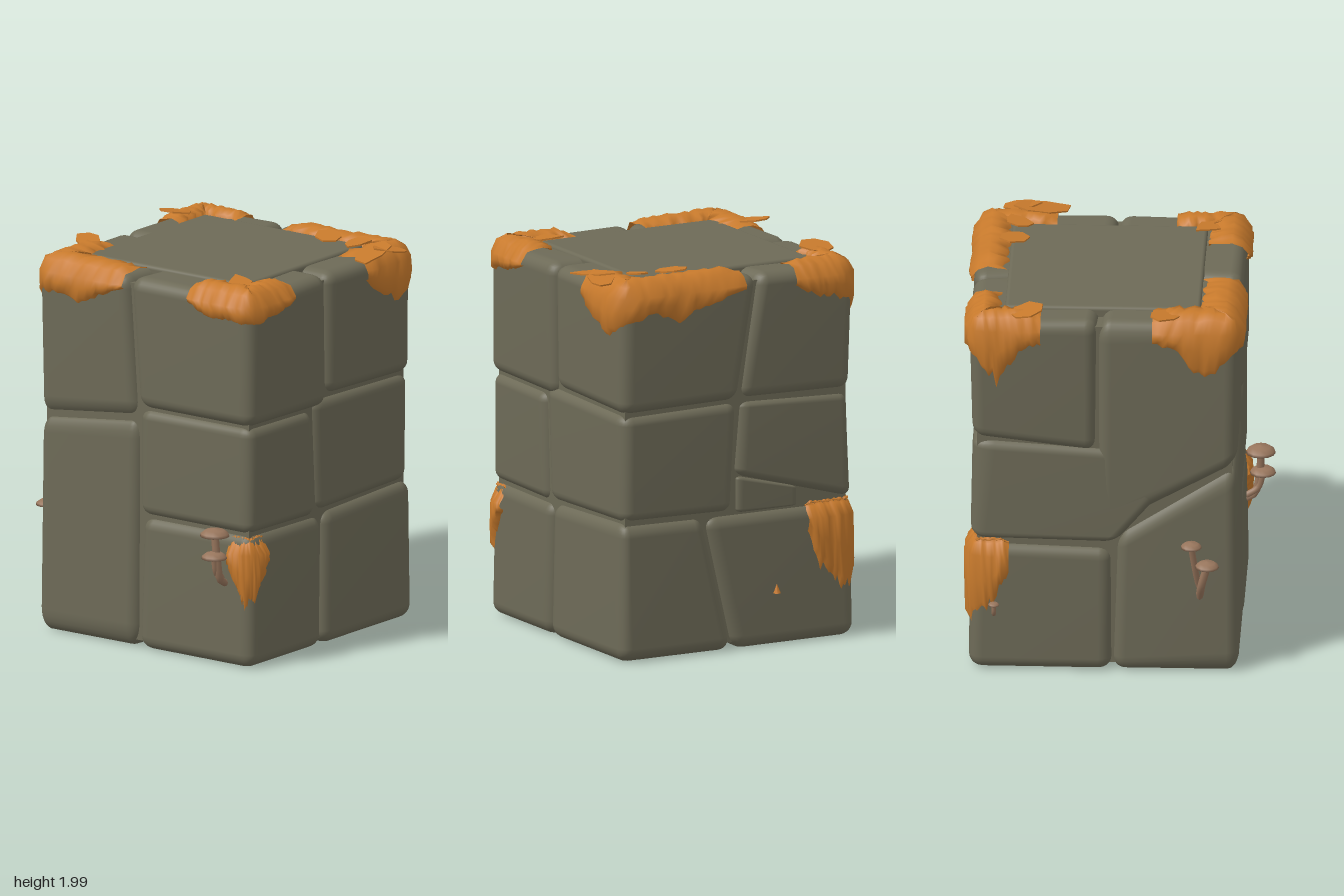
import * as THREE from 'three';
import { mergeVertices } from 'three/addons/utils/BufferGeometryUtils.js';
import { RoundedBoxGeometry } from 'three/addons/geometries/RoundedBoxGeometry.js';

const lerp = THREE.MathUtils.lerp;

export function createModel() {
  const group = new THREE.Group();
  const mat = (name, color, side = THREE.FrontSide) => {
    const m = new THREE.MeshStandardMaterial({ color, side });
    m.name = name;
    return m;
  };
  const stoneMat = mat('mossy grey stone', 0x6d6a57);
  const mossMat = mat('orange moss', 0xc87a2c, THREE.DoubleSide);
  const shroomMat = mat('mushroom brown', 0x97755c, THREE.DoubleSide);

  const add = (name, geo, material) => {
    const m = new THREE.Mesh(geo, material);
    m.name = name;
    group.add(m);
    return m;
  };
  let seed = 7;
  const rnd = () => (seed = (seed * 16807) % 2147483647) / 2147483647;

  const edgeX = (sx) => (sx > 0 ? 0.745 : -0.62);
  const edgeZ = (sz) => (sz > 0 ? 0.69 : -0.67);

  // Rounded unit block whose points are moved by a rule
  const warpedBlock = (name, rule, radius = 0.1) => {
    let geo = new RoundedBoxGeometry(1, 1, 1, 3, radius);
    geo.deleteAttribute('normal');
    geo.deleteAttribute('uv');
    geo = mergeVertices(geo, 1e-4);
    const p = geo.attributes.position, v = new THREE.Vector3();
    for (let i = 0; i < p.count; i++) {
      v.fromBufferAttribute(p, i);
      p.setXYZ(i, ...rule(v));
    }
    geo.computeVertexNormals();
    return add(name, geo, stoneMat);
  };

  // Corner stone: xs / zs are its seams on the two faces [bottom, top];
  // lo / hi are heights at [outer corner, seam on z face, seam on x face]
  const stone = (name, sx, sz, xs, zs, lo, hi, inset = [0, 0]) =>
    warpedBlock(name, (v) => {
      const a = 0.5 + sx * v.x, b = 0.5 + sz * v.z, t = v.y + 0.5;
      const out = lerp(inset[0], inset[1], t);
      const X = edgeX(sx) - sx * out, Z = edgeZ(sz) - sz * out;
      const x = lerp(lerp(0.06, lerp(xs[0], xs[1], t), b), X, a);
      const z = lerp(lerp(0, lerp(zs[0], zs[1], t), a), Z, b);
      const height = (h) => lerp(lerp((h[1] + h[2]) / 2, h[1], b), lerp(h[2], h[0], b), a);
      return [x, lerp(height(lo), height(hi), t), z];
    });

  // Inner core closing the gaps behind the seams
  const core = add('core', new THREE.BoxGeometry(1.29, 1.86, 1.28), stoneMat);
  core.position.set(0.0625, 0.97, 0.01);

  // Bottom course
  const ground = [0.005, 0.005, 0.005];
  const fr0 = [0.72, 0.7, 0.71], fl0 = [0.7, 0.69, 0.7], br0 = [0.71, 0.68, 0.71], bl0 = [1.15, 0.74, 1.22];
  stone('bottomFrontLeftStone', 1, 1, [-0.01, 0], [0.04, 0.22], ground, fr0, [-0.005, 0.005]);
  stone('bottomFrontRightStone', -1, 1, [-0.01, 0], [-0.04, -0.02], ground, fl0, [0, 0.01]);
  stone('bottomBackLeftStone', 1, -1, [0.02, 0.02], [0.04, 0.22], ground, br0, [-0.005, 0.005]);
  stone('tallBackRightStone', -1, -1, [0.02, 0], [-0.04, -0.03], ground, bl0, [0, 0.01]);

  // Middle course
  const fr1 = [1.28, 1.3, 1.29], fl1 = [1.26, 1.25, 1.26], br1 = [1.28, 1.2, 1.29];
  stone('middleFrontLeftStone', 1, 1, [-0.05, -0.08], [0.03, 0], fr0, fr1, [0.015, 0.01]);
  stone('middleFrontRightStone', -1, 1, [-0.05, -0.08], [-0.04, -0.04], fl0, fl1, [0.01, 0.01]);
  stone('middleBackLeftStone', 1, -1, [0, -0.45], [0.03, 0], [0.71, 0.7, 0.91], br1, [0.005, 0.015]);

  // Small filler stone on the side
  warpedBlock('fillerStone', (v) => {
    const t = v.y + 0.5, s = 0.5 - v.z;
    return [0.63 + v.x * 0.2, lerp(0.71, lerp(0.9, 0.81, s), t), lerp(0.01, -0.34, s)];
  });

  // Top course
  const rim = [1.93, 1.94, 1.94];
  stone('topFrontLeftStone', 1, 1, [0.04, 0.03], [0, -0.12], fr1, rim, [0.005, 0]);
  stone('topFrontRightStone', -1, 1, [0.04, 0.03], [-0.04, -0.1], fl1, rim, [0, 0]);
  stone('topBackLeftStone', 1, -1, [0.1, 0.1], [0, -0.12], br1, rim, [0.015, 0]);
  stone('topBackRightStone', -1, -1, [0.1, 0.1], [-0.04, -0.1], bl0, rim, [0.01, 0]);

  // Inset slab on top
  const slab = add('topSlab', new RoundedBoxGeometry(0.99, 0.1, 1.01, 3, 0.02), stoneMat);
  slab.position.set(0.075, 1.903, 0);

  // Moss draped round a corner: arms la (along x) and lb (along z),
  // inner width w, and hanging depths spread along its length
  const moss = (name, sx, sz, top, la, lb, w, drops) => {
    const N = 36, r = 0.1, arc = (r * Math.PI) / 2;
    const total = la - r + arc + lb - r;
    const pos = [], idx = [];
    const M = 9;
    for (let i = 0; i <= N; i++) {
      const s = (i / N) * total;
      let a, b, na = 0, nb = 0;                  // distance from corner, outward normal
      if (s < la - r) { a = la - s; b = 0; nb = 1; }
      else if (s < la - r + arc) {
        const q = (s - la + r) / r;
        na = Math.sin(q); nb = Math.cos(q);
        a = r - r * na; b = r - r * nb;
      } else { a = 0; b = s - la - arc + 2 * r; na = 1; }
      const f = (i / N) * (drops.length - 1), k = Math.min(Math.floor(f), drops.length - 2);
      const d = lerp(drops[k], drops[k + 1], f - k) * (0.85 + 0.3 * rnd());
      const ww = w * (0.88 + 0.24 * rnd());
      const fat = Math.min(1, 0.45 + Math.min(i, N - i) / 5);
      // [inward depth, outward offset, height]
      const profile = [
        [ww, 0, -0.02], [ww * 0.95, 0, 0.025], [ww * 0.65, 0, 0.04], [0.07, 0, 0.045], [0.02, 0, 0.02],
        [0, 0.022, -0.04], [0, 0.025, -0.04 - d * 0.4], [0, 0.022, -0.04 - d * 0.8], [0, -0.012, -0.04 - d],
      ];
      profile.forEach(([inner, out, h], j) => {
        const bump = j > 0 && j < M - 1 ? (rnd() - 0.5) * 0.014 : 0;
        const o = out * fat + (j > 4 ? bump : 0);
        const A = Math.max(a, inner) - na * o, B = Math.max(b, inner) - nb * o;
        pos.push(edgeX(sx) - sx * A, top + (h > 0 ? h * fat : h) + (j <= 4 ? bump : 0), edgeZ(sz) - sz * B);
        if (i < N && j < M - 1) {
          const q = i * M + j;
          idx.push(q, q + 1, q + M, q + 1, q + M + 1, q + M);
        }
      });
    }
    const geo = new THREE.BufferGeometry();
    geo.setAttribute('position', new THREE.Float32BufferAttribute(pos, 3));
    geo.setIndex(idx);
    geo.computeVertexNormals();
    add(name, geo, mossMat);
  };
  moss('frontLeftMoss', 1, 1, 1.93, 0.4, 0.72, 0.17, [0.06, 0.16, 0.2, 0.14, 0.09, 0.17, 0.1, 0.06, 0.02]);
  moss('frontRightMoss', -1, 1, 1.93, 0.36, 0.4, 0.18, [0.02, 0.06, 0.08, 0.1, 0.08, 0.08, 0.02]);
  moss('backLeftMoss', 1, -1, 1.93, 0.36, 0.35, 0.15, [0.08, 0.12, 0.3, 0.15, 0.12, 0.1, 0.03]);
  moss('backRightMoss', -1, -1, 1.93, 0.44, 0.55, 0.19, [0.06, 0.12, 0.3, 0.12, 0.1, 0.14, 0.07, 0.02]);
  moss('lowerBackLeftMoss', 1, -1, 0.68, 0.2, 0.28, 0.04, [0.1, 0.24, 0.38, 0.42, 0.3, 0.26, 0.06]);
  moss('lowerFrontRightMoss', -1, 1, 0.64, 0.14, 0.15, 0.04, [0.03, 0.12, 0.28, 0.3, 0.16, 0.05]);

  // Loose ragged moss flaps: x, y, z, length, width, turn, tilt
  [
    [0.43, 1.965, 0.66, 0.15, 0.08, 0.2, 0.14], [0.54, 1.96, 0.7, 0.11, 0.07, -0.5, -0.2],
    [0.56, 1.965, 0.3, 0.08, 0.07, 0.6, 0.12], [0.54, 1.965, 0.48, 0.08, 0.06, -0.3, 0.15],
    [-0.42, 1.96, 0.47, 0.08, 0.06, 0.9, 0.1], [-0.25, 1.965, -0.63, 0.1, 0.07, 0.5, 0.12],
    [0.46, 1.97, -0.61, 0.1, 0.09, 0.1, -0.18],
  ].forEach(([x, y, z, l, w, turn, tilt]) => {
    const outline = new THREE.Shape();
    for (let i = 0; i < 7; i++) {
      const ang = (i / 7) * Math.PI * 2, k = 0.75 + 0.45 * rnd();
      outline[i ? 'lineTo' : 'moveTo'](Math.cos(ang) * l * k, Math.sin(ang) * w * k);
    }
    const geo = new THREE.ExtrudeGeometry(outline, { depth: 0.008, bevelEnabled: false });
    geo.rotateX(-Math.PI / 2).rotateZ(tilt).rotateY(turn).translate(x, y, z);
    add('mossFlap', geo, mossMat);
  });

  // Mushrooms: curved stem with a domed cap on its end
  const mushroom = (points, capR, stemR) => {
    const path = new THREE.CatmullRomCurve3(points.map((p) => new THREE.Vector3(...p)));
    add('mushroomStem', new THREE.TubeGeometry(path, 10, stemR, 8), shroomMat);
    const profile = [[0, -0.1], [0.55, -0.12], [1, -0.08], [0.95, 0.12], [0.65, 0.35], [0, 0.48]];
    const cap = add('mushroomCap', new THREE.LatheGeometry(
      profile.map(([x, y]) => new THREE.Vector2(x * capR, y * capR)), 12), shroomMat);
    cap.position.set(...points[points.length - 1]);
  };
  mushroom([[-0.59, 0.43, 0.52], [-0.65, 0.46, 0.52], [-0.68, 0.58, 0.52], [-0.685, 0.7, 0.51]], 0.075, 0.02);
  mushroom([[-0.61, 0.46, 0.5], [-0.67, 0.5, 0.51], [-0.695, 0.585, 0.515]], 0.066, 0.017);
  mushroom([[-0.42, 0.42, -0.65], [-0.43, 0.5, -0.7], [-0.46, 0.62, -0.72]], 0.06, 0.02);
  mushroom([[-0.42, 0.46, -0.65], [-0.4, 0.58, -0.69], [-0.38, 0.73, -0.725]], 0.053, 0.016);
  mushroom([[0.62, 0.3, -0.64], [0.62, 0.33, -0.69], [0.62, 0.38, -0.7]], 0.028, 0.011);

  // Tiny sprout on the side
  const sprout = add('sprout', new THREE.ConeGeometry(0.022, 0.05, 6), mossMat);
  sprout.position.set(0.745, 0.3, -0.21);
  return group;
}
